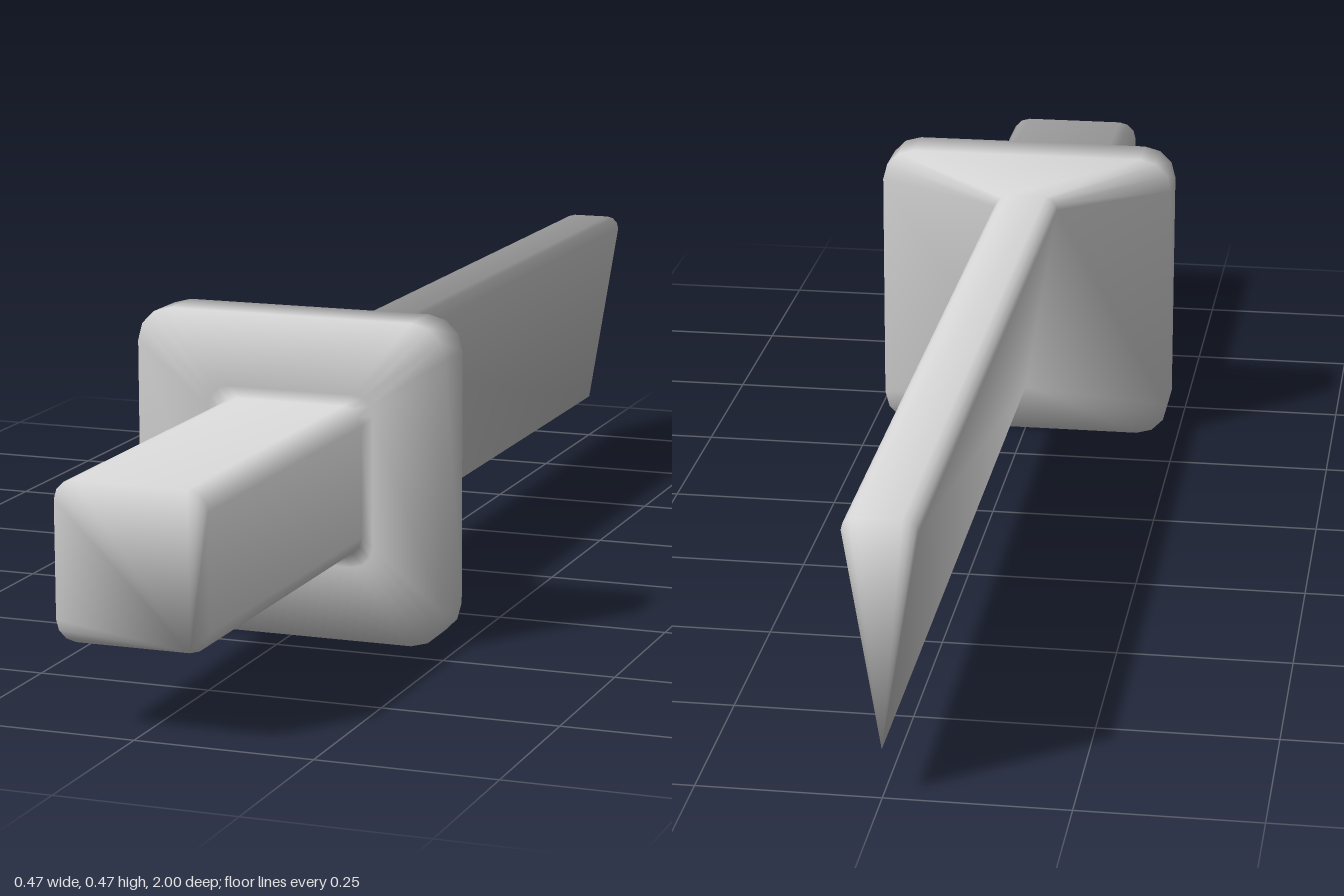
import * as THREE from 'three';
import { mergeVertices } from 'three/addons/utils/BufferGeometryUtils.js';

const CY = 0.2325; // height of the sword's axis
const STEPS = 4;   // points per rounded corner
const N = STEPS * 4;

// Rounded square outline, counter-clockwise seen from the front
function roundedSquare(half, r) {
  const pts = [];
  [[1, 1], [-1, 1], [-1, -1], [1, -1]].forEach(([sx, sy], q) => {
    for (let k = 0; k < STEPS; k++) {
      const a = (q + k / (STEPS - 1)) * Math.PI / 2;
      pts.push([sx * (half - r) + r * Math.cos(a), CY + sy * (half - r) + r * Math.sin(a)]);
    }
  });
  return pts;
}

// Wedge outline: rounded back edge on top, a single cutting edge below
function wedge(half, top, bottom, r) {
  return roundedSquare(half, r).map(([x, y], i) =>
    i < N / 2 ? [x, y - CY - half + top] : [0, bottom]);
}

// Smooth normals: each face counts by its corner angle, not by its area
function angleWeightedNormals(geometry) {
  const pos = geometry.attributes.position, idx = geometry.index.array;
  const sums = Array.from({ length: pos.count }, () => new THREE.Vector3());
  for (let t = 0; t < idx.length; t += 3) {
    const ids = [idx[t], idx[t + 1], idx[t + 2]];
    if (new Set(ids).size < 3) continue;
    const p = ids.map((i) => new THREE.Vector3().fromBufferAttribute(pos, i));
    const normal = new THREE.Triangle(...p).getNormal(new THREE.Vector3());
    ids.forEach((id, k) => {
      const u = p[(k + 1) % 3].clone().sub(p[k]);
      const v = p[(k + 2) % 3].clone().sub(p[k]);
      sums[id].addScaledVector(normal, u.angleTo(v));
    });
  }
  const flat = sums.flatMap((n) => n.normalize().toArray());
  geometry.setAttribute('normal', new THREE.Float32BufferAttribute(flat, 3));
}

export function createModel() {
  const grip = roundedSquare(0.108, 0.028);
  const collar = roundedSquare(0.125, 0.03);
  const guard = roundedSquare(0.2325, 0.05);
  const blade = wedge(0.05, 0.395, 0.07, 0.02);

  // Cross-sections from the pommel to the tip
  const rings = [
    [grip, 1], [grip, 0.445],
    [collar, 0.445], [guard, 0.445], [guard, 0.37],
    [blade, 0.37], [blade, -1],
  ];
  const positions = rings.flatMap(([pts, z]) => pts.flatMap(([x, y]) => [x, y, z]));

  // Skin between neighbouring cross-sections
  const band = (i) => {
    const out = [];
    for (let j = 0; j < N; j++) {
      const a = i * N + j, b = i * N + (j + 1) % N;
      out.push(a, a + N, b, b, a + N, b + N);
    }
    return out;
  };
  // End face, fanned from the first point of the lower right corner
  const cap = (i, flip) => {
    const out = [], at = (j) => i * N + (j + 3 * STEPS) % N;
    for (let j = 1; j < N - 1; j++) out.push(at(0), at(flip ? j + 1 : j), at(flip ? j : j + 1));
    return out;
  };
  const parts = {
    grip: [...cap(0, false), ...band(0)],
    guard: [1, 2, 3, 4].flatMap(band),
    blade: [...band(5), ...cap(6, true)],
  };

  // One welded skin, so the shading runs smoothly from part to part
  let skin = new THREE.BufferGeometry();
  skin.setAttribute('position', new THREE.Float32BufferAttribute(positions, 3));
  skin.setIndex(Object.values(parts).flat());
  skin = mergeVertices(skin, 1e-5);
  angleWeightedNormals(skin);

  // Split the skin into named parts that share its vertices
  const group = new THREE.Group();
  group.name = 'shortSword';
  const material = new THREE.MeshStandardMaterial({ color: 0xcccccc });
  const welded = Array.from(skin.index.array);
  let start = 0;
  for (const [name, list] of Object.entries(parts)) {
    const geometry = new THREE.BufferGeometry();
    geometry.setAttribute('position', skin.attributes.position);
    geometry.setAttribute('normal', skin.attributes.normal);
    geometry.setIndex(welded.slice(start, start + list.length));
    start += list.length;
    const mesh = new THREE.Mesh(geometry, material);
    mesh.name = name;
    group.add(mesh);
  }
  return group;
}
